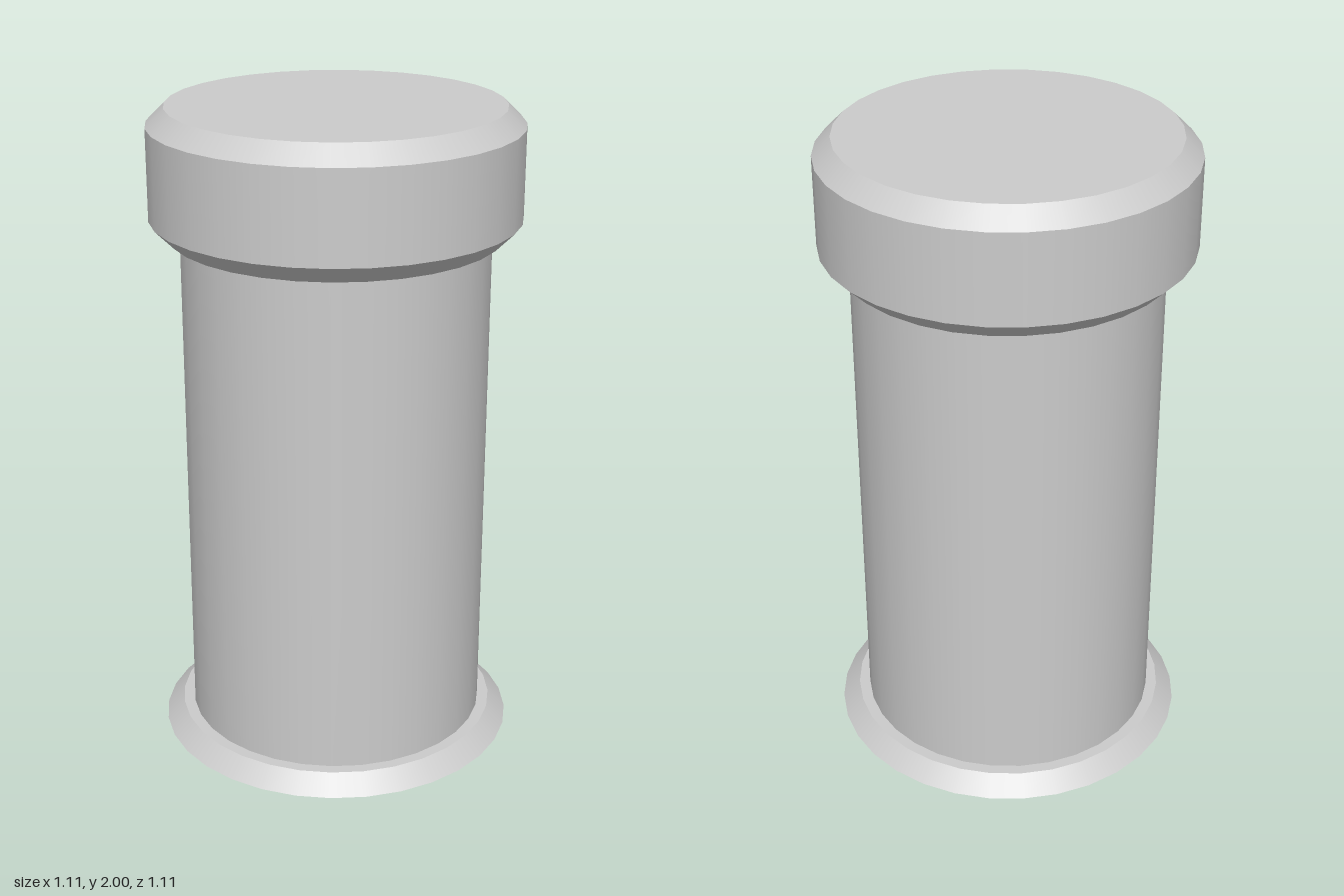
import * as THREE from 'three';

const SIDES = 32;
const R_BODY = 0.465, R_INNER = 0.5, R_OUTER = 0.555;
const BEVEL = 0.055, CAP_Y = 1.615, TOP_Y = 2;

const material = new THREE.MeshStandardMaterial({ color: 0xcccccc });
const thinMaterial = new THREE.MeshStandardMaterial({ color: 0xcccccc, side: THREE.DoubleSide });

// Open conical band from radius r0 at y0 up to radius r1 at y1
function band(name, r0, y0, r1, y1, mat = material) {
  const geometry = new THREE.CylinderGeometry(r1, r0, y1 - y0, SIDES, 1, true);
  geometry.translate(0, (y0 + y1) / 2, 0);
  const mesh = new THREE.Mesh(geometry, mat);
  mesh.name = name;
  return mesh;
}

// Flat horizontal disc, facing up or down
function disc(name, radius, y, up, mat = material) {
  const geometry = new THREE.CircleGeometry(radius, SIDES);
  geometry.rotateX(up ? -Math.PI / 2 : Math.PI / 2);
  geometry.translate(0, y, 0);
  const mesh = new THREE.Mesh(geometry, mat);
  mesh.name = name;
  return mesh;
}

export function createModel() {
  const model = new THREE.Group();
  model.name = 'bollard';

  // Thin flared skirt around a raised, recessed floor
  const base = new THREE.Group();
  base.name = 'base';
  base.add(
    band('baseFlare', R_OUTER, 0, R_INNER, BEVEL, thinMaterial),
    disc('baseFloor', R_INNER, BEVEL, false, thinMaterial),
  );

  // Straight column between base and cap
  const column = band('column', R_BODY, BEVEL, R_BODY, CAP_Y);

  // Cap with a bevel on both rims
  const cap = new THREE.Group();
  cap.name = 'cap';
  cap.add(
    disc('capUnderside', R_INNER, CAP_Y, false),
    band('capLowerBevel', R_INNER, CAP_Y, R_OUTER, CAP_Y + BEVEL),
    band('capSide', R_OUTER, CAP_Y + BEVEL, R_OUTER, TOP_Y - BEVEL),
    band('capUpperBevel', R_OUTER, TOP_Y - BEVEL, R_INNER, TOP_Y),
    disc('capTop', R_INNER, TOP_Y, true),
  );

  model.add(base, column, cap);
  return model;
}
